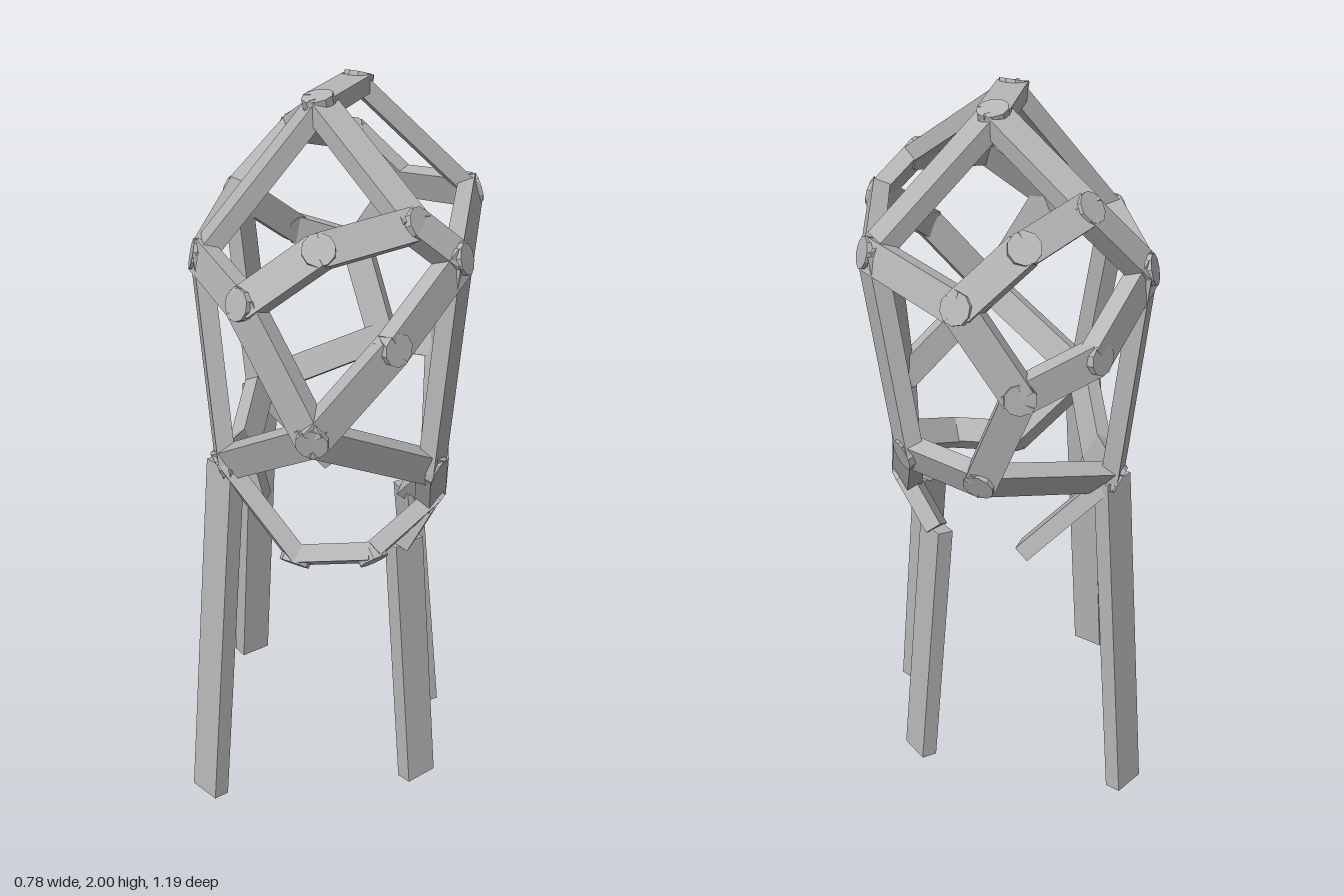
import * as THREE from 'three';

const V = (x, y, z) => new THREE.Vector3(x, y, z);

// Joints of the cage
const N = {
  ridgeFront: V(-0.035, 1.965, 0.12), ridgeBack: V(0.035, 1.965, -0.175),
  // front half
  browLeft: V(0.225, 1.73, 0.36), browMid: V(0.01, 1.70, 0.50), browRight: V(-0.175, 1.56, 0.50),
  shoulderLeft: V(0.335, 1.63, 0.31), cheekLeft: V(0.19, 1.47, 0.52), nose: V(0, 1.24, 0.565),
  shoulderRight: V(-0.335, 1.59, 0.22),
  // back half
  napeRight: V(-0.17, 1.79, -0.40), napeMid: V(-0.01, 1.74, -0.53), napeLeft: V(0.14, 1.60, -0.53),
  rearLeft: V(0.35, 1.65, -0.27), rearRight: V(-0.335, 1.61, -0.33),
  rearCheek: V(-0.19, 1.45, -0.50), tail: V(0, 1.38, -0.56),
  // underside
  hipLeft: V(0.285, 1.05, 0.31), hipRight: V(-0.27, 1.04, 0.32),
  rearHipLeft: V(0.27, 1.14, -0.36), rearHipRight: V(-0.275, 1.01, -0.30), rump: V(0.09, 1.11, -0.48),
  chinRight: V(-0.07, 0.80, 0.38), chinLeft: V(0.13, 0.82, 0.38),
  bellyFront: V(0.28, 0.90, 0.21), bellyBack: V(0.28, 0.89, -0.03), bellyRight: V(-0.275, 0.94, 0),
};

const bars = [
  ['ridgeFront', 'ridgeBack'], ['ridgeFront', 'browLeft'], ['ridgeFront', 'shoulderRight'],
  ['ridgeBack', 'napeRight'], ['ridgeBack', 'rearLeft'],
  ['browLeft', 'browMid'], ['browMid', 'browRight'], ['browRight', 'shoulderRight'], ['browRight', 'nose'],
  ['browLeft', 'shoulderLeft'], ['shoulderLeft', 'cheekLeft'], ['cheekLeft', 'nose'],
  ['shoulderLeft', 'rearLeft'], ['shoulderRight', 'rearRight'],
  ['napeRight', 'napeMid'], ['napeMid', 'napeLeft'], ['napeLeft', 'rearLeft'], ['napeLeft', 'tail'],
  ['napeRight', 'rearRight'], ['rearRight', 'rearCheek'], ['rearCheek', 'tail'],
  ['nose', 'hipLeft'], ['nose', 'hipRight'], ['shoulderLeft', 'hipLeft'], ['shoulderRight', 'hipRight'],
  ['rearLeft', 'rearHipLeft'], ['rearRight', 'rearHipRight'],
  ['tail', 'rump'], ['rump', 'rearHipLeft'], ['rump', 'rearHipRight'],
  ['hipRight', 'chinRight'], ['chinRight', 'chinLeft'], ['chinLeft', 'bellyFront'], ['hipLeft', 'bellyFront'],
  ['bellyFront', 'bellyBack'], ['bellyBack', 'rearHipLeft'],
  ['hipRight', 'bellyRight'], ['bellyRight', 'rearHipRight'],
];

// Outward direction of the egg-shaped cage at a point
const outward = (p) => V(p.x / 0.13, (p.y - 1.37) / 0.36, p.z / 0.34).normalize();

export function createModel() {
  const model = new THREE.Group();
  const grey = new THREE.MeshStandardMaterial({ color: 0xb6b6b6, flatShading: true });
  grey.name = 'pale grey';

  // Flat bar from a to b whose broad face looks along n
  function bar(name, parent, a, b, n, width = 0.085, thick = 0.048) {
    const along = b.clone().sub(a);
    const length = along.length();
    along.normalize();
    const side = along.clone().cross(n).normalize();
    const out = side.clone().cross(along);
    const mesh = new THREE.Mesh(new THREE.BoxGeometry(width, length, thick), grey);
    mesh.quaternion.setFromRotationMatrix(new THREE.Matrix4().makeBasis(side, along, out));
    mesh.position.copy(a).add(b).multiplyScalar(0.5);
    mesh.name = name;
    parent.add(mesh);
  }

  const cage = new THREE.Group();
  cage.name = 'cage';
  model.add(cage);
  for (const [i, j] of bars) {
    const mid = N[i].clone().add(N[j]).multiplyScalar(0.5);
    bar('cageBar', cage, N[i], N[j], outward(mid));
  }

  // Rounded knuckles closing the corners
  for (const p of Object.values(N)) {
    const hub = new THREE.Mesh(new THREE.CylinderGeometry(0.042, 0.042, 0.05, 10), grey);
    hub.quaternion.setFromUnitVectors(V(0, 1, 0), outward(p));
    hub.position.copy(p);
    hub.name = 'knuckle';
    cage.add(hub);
  }

  // Short struts hanging below the cage
  const stubs = [
    [N.bellyFront, V(0.21, 0.765, 0.21)], [N.bellyBack, V(0.2, 0.765, -0.12)],
    [N.bellyRight, V(-0.23, 0.77, 0.01)], [N.rearHipRight, V(-0.04, 0.775, -0.275)],
  ];
  for (const [a, b] of stubs) bar('strut', model, a, b, outward(a));

  // Four splayed legs
  const legs = [
    ['frontRightLeg', N.hipRight, V(-0.335, 0, 0.40)],
    ['frontLeftLeg', V(0.21, 0.77, 0.21), V(0.265, 0, 0.26)],
    ['backLeftLeg', V(0.2, 0.77, -0.115), V(0.265, 0, -0.15)],
    ['backRightLeg', N.rearHipRight, V(-0.335, 0, -0.345)],
  ];
  for (const [name, top, foot] of legs) {
    bar(name, model, foot, top, V(foot.x, 0, foot.z).normalize(), 0.1, 0.048);
  }
  return model;
}
